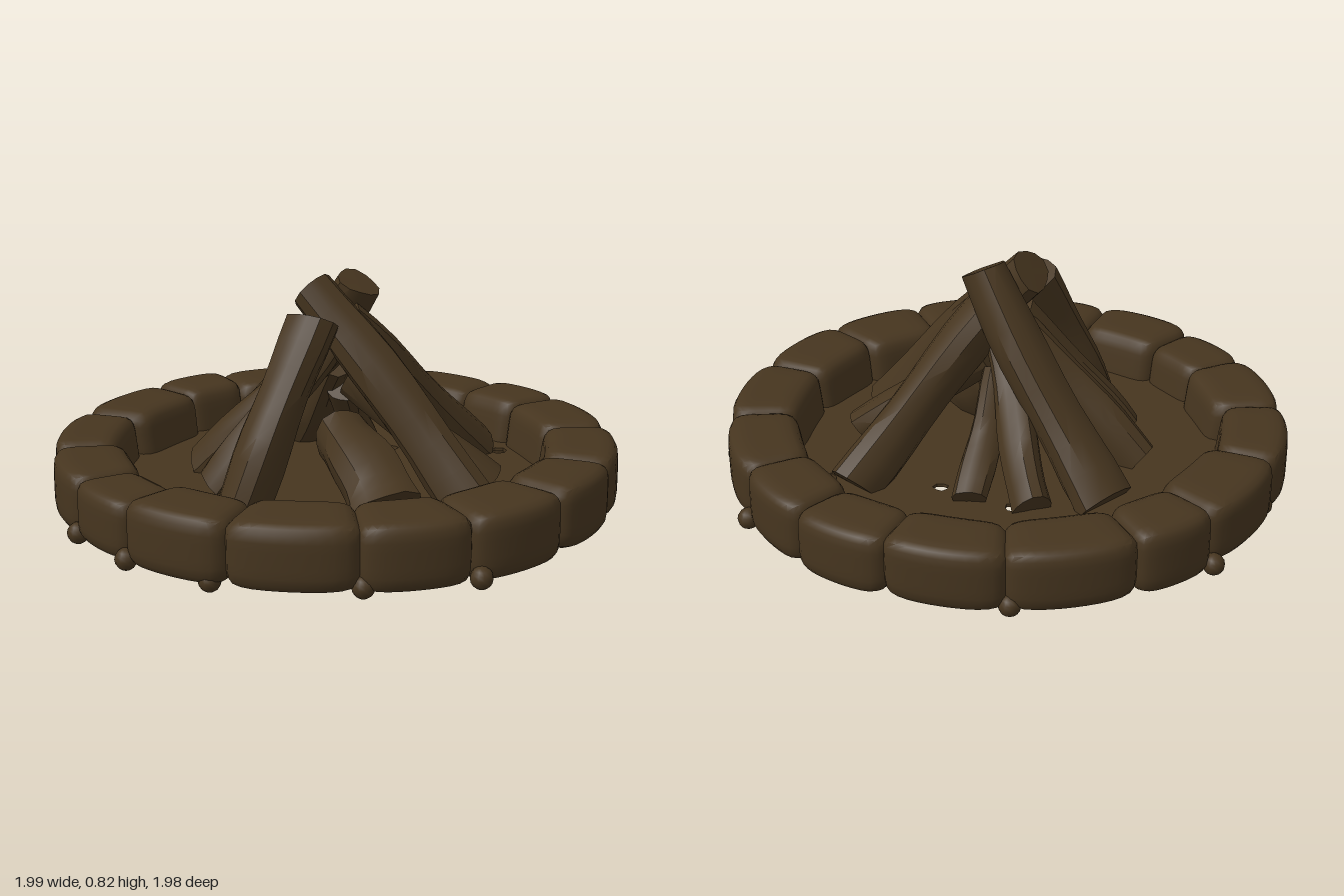
import * as THREE from 'three';
import { toCreasedNormals } from 'three/addons/utils/BufferGeometryUtils.js';

export function createModel() {
  const model = new THREE.Group();
  model.name = 'campfire';
  const brown = new THREE.MeshStandardMaterial({ color: 0x46351f });
  brown.name = 'dark brown';

  let seed = 7;
  const rand = () => (seed = (seed * 16807) % 2147483647) / 2147483647;
  const jitter = (a) => (rand() - 0.5) * 2 * a;
  const add = (name, geometry) => {
    const mesh = new THREE.Mesh(geometry, brown);
    mesh.name = name;
    model.add(mesh);
    return mesh;
  };
  // Move every vertex of a geometry by a rule
  const reshape = (geometry, rule, crease) => {
    const p = geometry.attributes.position;
    const v = new THREE.Vector3();
    for (let i = 0; i < p.count; i++) {
      rule(v.fromBufferAttribute(p, i));
      p.setXYZ(i, v.x, v.y, v.z);
    }
    return toCreasedNormals(geometry, crease);
  };

  // Ring stones: rounded blocks bent around the pit, between these joints (degrees from the front)
  const joints = [-9, 9, 31.4, 56.5, 78, 100.5, 123, 148, 172, 191, 211.5, 235, 260.6, 278, 303.4, 328, 351];
  const inner = [0.73, 0.71, 0.68, 0.69, 0.69, 0.71, 0.72, 0.72, 0.72, 0.73, 0.73, 0.72, 0.73, 0.70, 0.74, 0.71];
  inner.forEach((rin, i) => {
    const a0 = THREE.MathUtils.degToRad(joints[i]);
    const a1 = THREE.MathUtils.degToRad(joints[i + 1]);
    const top = 0.248 + jitter(0.01);
    const bottom = 0.03 + jitter(0.006);
    const tilt = jitter(0.006);
    const rout = 0.985 + jitter(0.006);
    const geometry = reshape(new THREE.BoxGeometry(2, 2, 2, 10, 8, 8), (v) => {
      const n = 6;
      const len = (Math.abs(v.x) ** n + Math.abs(v.y) ** n + Math.abs(v.z) ** n) ** (1 / n);
      v.divideScalar(len);
      const angle = (a0 + a1) / 2 + v.x * 1.05 * (a1 - a0) / 2;
      // The inner face leans outward towards the top
      const lean = 0.015 * v.y * (1 - v.z) / 2;
      const r = (rin + rout) / 2 + v.z * (rout - rin) / 2 - 0.01 * v.x * v.x * v.z + lean;
      const y = (top + bottom) / 2 + v.y * (top - bottom) / 2 + tilt * v.x;
      v.set(Math.sin(angle) * r, y, Math.cos(angle) * r);
    }, 0.7);
    add('ringStone' + (i + 1), geometry);
  });

  // Pebbles tucked against the joints
  const pebbles = [[0.15, 0.05, 0.95], [-0.15, 0.05, 0.95], [0.79, 0.05, 0.51], [0.955, 0.05, 0.18],
    [0.56, 0.05, -0.79], [0.14, 0.05, -0.96], [-0.78, 0.05, -0.53], [-0.96, 0.05, 0.14],
    [-0.77, 0.05, 0.52], [-0.45, 0.13, 0.65], [0.44, 0.04, 0.83]];
  pebbles.forEach(([x, y, z], i) => {
    add('pebble' + (i + 1), new THREE.SphereGeometry(0.037, 12, 8)).position.set(x, y, z);
  });

  // Thin pit floor with small gaps
  const floor = new THREE.Shape();
  floor.absarc(0, 0, 0.8, 0, Math.PI * 2, false);
  const gaps = [[-0.63, 0.03, 0.038], [0.15, -0.65, 0.033], [-0.35, 0.15, 0.05], [-0.14, 0.23, 0.035],
    [0.48, 0, 0.033], [-0.37, -0.24, 0.025], [-0.12, -0.36, 0.025]];
  for (const [x, z, r] of gaps) {
    const gap = new THREE.Path();
    for (let k = 0; k < 7; k++) {
      const a = -k / 7 * Math.PI * 2;
      const q = r * (1 + jitter(0.2));
      const px = x + Math.cos(a) * q, py = -z + Math.sin(a) * q;
      if (k) gap.lineTo(px, py); else gap.moveTo(px, py);
    }
    gap.closePath();
    floor.holes.push(gap);
  }
  const floorGeometry = new THREE.ExtrudeGeometry(floor, { depth: 0.012, bevelEnabled: false, curveSegments: 40 });
  floorGeometry.rotateX(-Math.PI / 2);
  add('pitFloor', floorGeometry).position.y = 0.085;

  // A rough log from its foot to its tip, with a gentle bow, ridges, a slanted tip and a foot resting flat
  const up = new THREE.Vector3(0, 1, 0);
  const log = (name, foot, tip, r0, r1) => {
    const a = new THREE.Vector3(...foot);
    const dir = new THREE.Vector3(...tip).sub(a);
    const length = dir.length();
    const middle = a.clone().addScaledVector(dir, 0.5);
    const turn = new THREE.Quaternion().setFromUnitVectors(up, dir.normalize());
    const phase = rand() * 6;
    const bow = 0.008;
    const geometry = reshape(new THREE.CylinderGeometry(r1, r0, length, 12, 8), (v) => {
      const t = v.y / length + 0.5;
      const angle = Math.atan2(v.z, v.x);
      const k = 1 + 0.08 * Math.sin(3 * angle + phase + t * 2) + 0.05 * Math.sin(t * 9 + phase);
      const slant = (t - 0.5) * 0.4 * v.x;
      v.x = v.x * k + bow * Math.sin(t * Math.PI);
      v.z = v.z * k + bow * Math.sin(t * 5 + phase);
      v.y += slant;
      v.applyQuaternion(turn).add(middle);
      v.y = Math.max(v.y, 0.07);
    }, 0.6);
    add(name, geometry);
  };

  // Four main logs leaning together
  log('leftwardLog', [-0.52, 0.09, 0.02], [0.03, 0.785, -0.08], 0.1, 0.08);
  log('rightwardLog', [0.5, 0.1, -0.18], [-0.035, 0.765, 0.07], 0.095, 0.08);
  log('frontLog', [0.08, 0.08, 0.47], [0.085, 0.69, 0.16], 0.09, 0.085);
  log('backLog', [0.065, 0.1, -0.6], [0.03, 0.66, 0.0], 0.09, 0.085);

  // Shorter kindling propped inside the main logs
  log('kindlingRight', [0.44, 0.1, 0.13], [0.1, 0.28, 0.05], 0.125, 0.1);
  log('kindlingBackRight', [0.4, 0.1, -0.35], [0.04, 0.46, -0.04], 0.08, 0.07);
  log('kindlingBack', [-0.26, 0.1, -0.33], [-0.02, 0.4, -0.05], 0.06, 0.055);
  log('kindlingBackLeft', [-0.43, 0.11, -0.19], [-0.02, 0.5, -0.03], 0.07, 0.06);
  log('kindlingFrontLeft', [-0.36, 0.1, 0.32], [0.01, 0.57, 0.03], 0.075, 0.065);
  log('kindlingFront', [-0.14, 0.1, 0.41], [0.03, 0.6, 0.06], 0.07, 0.065);

  return model;
}
